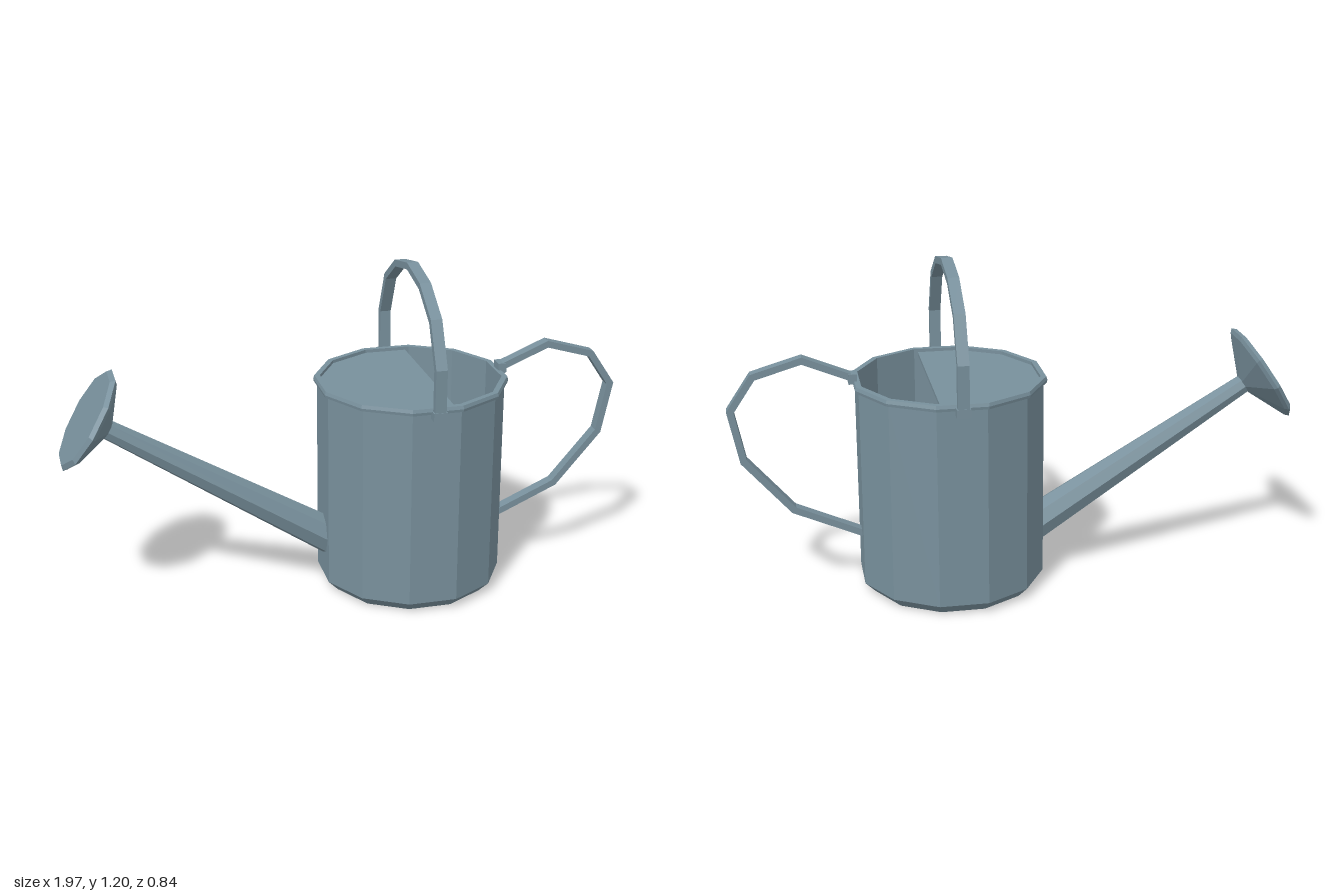
import * as THREE from 'three';

const metal = new THREE.MeshStandardMaterial({ color: 0x78909c, flatShading: true, side: THREE.DoubleSide });
const v2 = (list) => list.map(([x, y]) => new THREE.Vector2(x, y));

function part(name, geometry, parent) {
  const mesh = new THREE.Mesh(geometry, metal);
  mesh.name = name;
  parent.add(mesh);
  return mesh;
}

// Flat strap following a path in the xy plane, with mitred corners
function strap(list, width, thick) {
  const pts = v2(list);
  const outer = [], inner = [];
  pts.forEach((p, i) => {
    const a = p.clone().sub(pts[i - 1] ?? p).normalize();
    const b = (pts[i + 1] ?? p).clone().sub(p).normalize();
    const t = a.clone().add(b).normalize();
    const half = thick / 2 / t.dot(i ? a : b);
    const n = new THREE.Vector2(-t.y, t.x).multiplyScalar(half);
    outer.push(p.clone().add(n));
    inner.unshift(p.clone().sub(n));
  });
  const geo = new THREE.ExtrudeGeometry(new THREE.Shape([...outer, ...inner]), { depth: width, bevelEnabled: false });
  return geo.translate(0, 0, -width / 2);
}

export function createModel() {
  const model = new THREE.Group();
  model.name = 'wateringCan';
  const can = new THREE.Group();
  can.name = 'can';
  can.position.set(0.24, 0, -0.065);
  can.rotation.y = Math.PI / 12;
  model.add(can);

  // Twelve-sided hollow body with a bevelled foot and rolled rim
  part('body', new THREE.LatheGeometry(v2([
    [0, 0], [0.298, 0], [0.335, 0.038], [0.335, 0.755], [0.346, 0.758], [0.348, 0.768],
    [0.344, 0.78], [0.324, 0.78], [0.324, 0.045], [0.288, 0.012], [0, 0.012],
  ]), 12, Math.PI / 12), can);

  // Cover over the spout side of the opening
  const lidEdge = 0.07, lidR = 0.326;
  const lid = [[lidEdge, lidR * Math.cos(Math.PI / 12)]];
  for (let deg = 105; deg <= 255; deg += 30) {
    const a = THREE.MathUtils.degToRad(deg);
    lid.push([lidR * Math.cos(a), lidR * Math.sin(a)]);
  }
  lid.push([lidEdge, -lid[0][1]]);
  const lidGeo = new THREE.ExtrudeGeometry(new THREE.Shape(v2(lid)), { depth: 0.012, bevelEnabled: false });
  part('halfLid', lidGeo.rotateX(Math.PI / 2).translate(0, 0.768, 0), can);

  // Spout and sprinkler head share one slanted axis
  const spout = new THREE.Group();
  spout.name = 'spoutAssembly';
  const base = new THREE.Vector2(-0.28, 0.172), tip = new THREE.Vector2(-1.09, 0.683);
  const axis = tip.clone().sub(base);
  const length = axis.length();
  spout.position.set(base.x, base.y, 0);
  spout.rotation.z = axis.angle() - Math.PI / 2;
  can.add(spout);
  part('spout', new THREE.CylinderGeometry(0.035, 0.068, length, 8).translate(0, length / 2, 0), spout);
  part('sprinklerHead', new THREE.LatheGeometry(v2([
    [0, 0], [0.034, 0], [0.18, 0.066], [0.192, 0.078], [0.178, 0.092], [0, 0.092],
  ]), 10), spout).position.y = length - 0.01;

  // Carrying handle arching across the opening
  const half = [[0.35, 0.75], [0.352, 0.92], [0.28, 1.07], [0.15, 1.155]];
  const arch = [...half, [0, 1.185], ...half.map(([x, y]) => [-x, y]).reverse()];
  part('topHandle', strap(arch, 0.04, 0.024).rotateY(Math.PI / 2), can);
  for (const side of [-1, 1]) {
    part('topHandleClamp', new THREE.BoxGeometry(0.048, 0.03, 0.034), can).position.set(0, 0.757, side * 0.347);
  }

  // Side handle for pouring
  part('sideHandle', strap([
    [0.33, 0.787], [0.51, 0.862], [0.68, 0.812], [0.762, 0.69],
    [0.725, 0.505], [0.56, 0.312], [0.315, 0.203],
  ], 0.04, 0.024), can);
  part('sideHandleClamp', new THREE.BoxGeometry(0.03, 0.036, 0.05), can).position.set(0.337, 0.787, 0);

  return model;
}
